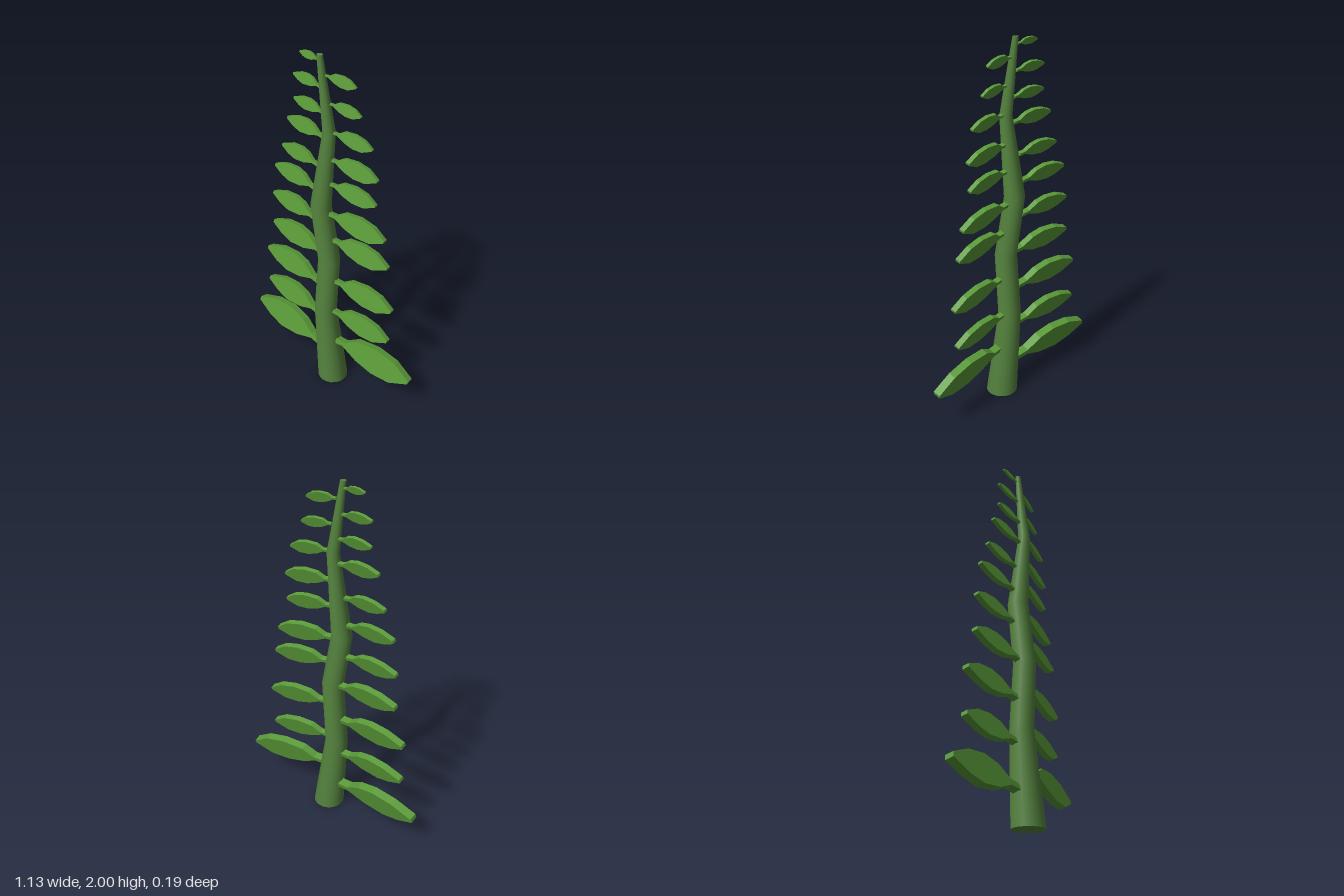
import * as THREE from 'three';

const leafGreen = new THREE.MeshStandardMaterial({ name: 'leaf green', color: 0x5a9a38 });
const stemGreen = new THREE.MeshStandardMaterial({ name: 'stem green', color: 0x56853f });

// Stem rings: height, centre x, radius
const RINGS = [
  [0, 0.045, 0.087], [0.48, -0.013, 0.063], [0.85, 0.013, 0.06],
  [1.17, -0.047, 0.056], [1.62, 0.011, 0.033], [2, -0.05, 0.015],
];

// Leaf outlines for a leaf of length 1, growing from the origin
const RIGHT_OUTLINE = [
  [0, 0.03], [0.12, 0.02], [0.27, 0.11], [0.54, 0.12], [0.79, 0.055], [1, -0.09],
  [0.99, -0.13], [0.76, -0.22], [0.52, -0.21], [0.3, -0.14], [0.1, -0.03], [0, -0.03],
];
const LEFT_OUTLINE = [
  [0, 0.03], [0.14, 0.05], [0.3, 0.16], [0.5, 0.21], [0.75, 0.19], [0.99, 0.1],
  [1, 0.05], [0.8, -0.05], [0.6, -0.1], [0.35, -0.08], [0.14, -0.01], [0, -0.03],
];

// Leaves: base x, base y, tip x
const RIGHT_LEAVES = [
  [0.075, 0.285, 0.56], [0.045, 0.49, 0.405], [0.06, 0.715, 0.42], [0.04, 0.985, 0.38],
  [0.015, 1.14, 0.35], [0.02, 1.325, 0.29], [0.025, 1.47, 0.295], [0.04, 1.625, 0.26],
  [0.015, 1.77, 0.19], [-0.015, 1.905, 0.155],
];
const LEFT_LEAVES = [
  [-0.05, 0.18, -0.57], [-0.065, 0.41, -0.475], [-0.06, 0.64, -0.475], [-0.035, 0.86, -0.415],
  [-0.09, 1.06, -0.41], [-0.09, 1.25, -0.385], [-0.07, 1.4, -0.325], [-0.03, 1.575, -0.28],
  [-0.03, 1.705, -0.23], [-0.05, 1.835, -0.23], [-0.06, 1.965, -0.185],
];

// Tapered tube whose rows follow the zigzag rings
function makeStem() {
  const n = RINGS.length - 1;
  const geo = new THREE.CylinderGeometry(1, 1, n, 20, n);
  const p = geo.attributes.position;
  for (let i = 0; i < p.count; i++) {
    const [y, cx, r] = RINGS[Math.round(p.getY(i) + n / 2)];
    p.setXYZ(i, cx + p.getX(i) * r, y, 0.006 + p.getZ(i) * r);
  }
  const stem = new THREE.Mesh(geo, stemGreen);
  stem.name = 'stem';
  return stem;
}

// Thick leaf plate, face tilted a little upward and swept by yaw
function makeLeafGeometry(outline, side, yaw) {
  const shape = new THREE.Shape(outline.map(([x, y]) => new THREE.Vector2(side * x, y)));
  const geo = new THREE.ExtrudeGeometry(shape, { depth: 0.09, bevelEnabled: false });
  geo.translate(0, 0, -0.045);
  geo.rotateX(-0.25);
  geo.rotateY(yaw);
  return geo;
}

export function createModel() {
  const model = new THREE.Group();
  model.name = 'plant';
  model.add(makeStem());

  const sides = [
    ['leftLeaf', RIGHT_LEAVES, makeLeafGeometry(RIGHT_OUTLINE, 1, 0.185)],
    ['rightLeaf', LEFT_LEAVES, makeLeafGeometry(LEFT_OUTLINE, -1, 0.02)],
  ];
  for (const [name, leaves, geo] of sides) {
    leaves.forEach(([x, y, tip], i) => {
      const leaf = new THREE.Mesh(geo, leafGreen);
      leaf.name = name + (i + 1);
      leaf.position.set(x, y, 0);
      leaf.scale.setScalar(Math.abs(tip - x));
      model.add(leaf);
    });
  }
  return model;
}
